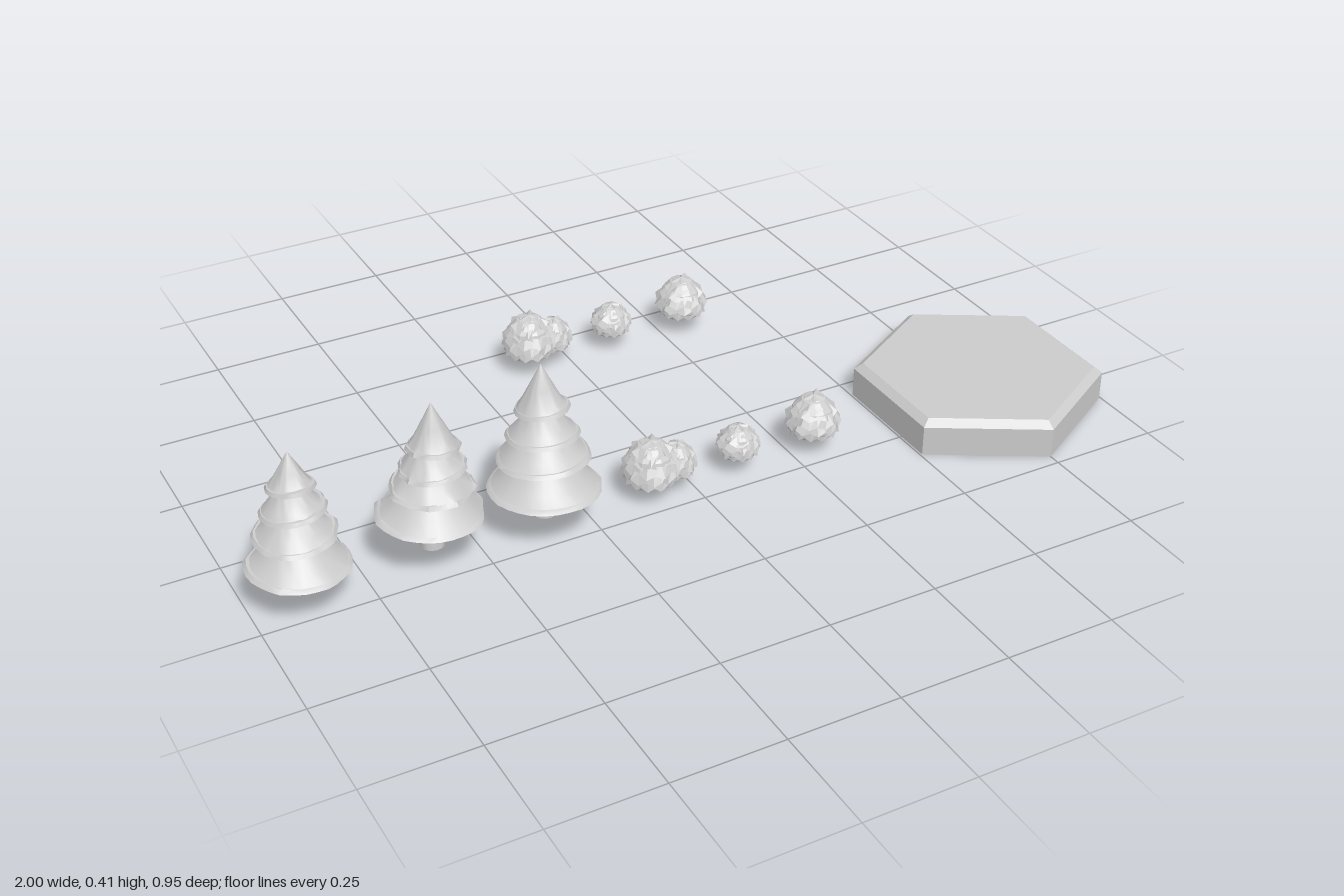
import * as THREE from 'three';
import { mergeGeometries, toCreasedNormals } from 'three/addons/utils/BufferGeometryUtils.js';

const smooth = new THREE.MeshStandardMaterial({ color: 0xcccccc, side: THREE.DoubleSide });
const faceted = new THREE.MeshStandardMaterial({ color: 0xcccccc, side: THREE.DoubleSide, flatShading: true });

function seeded(seed) {
  let s = seed;
  return () => (s = (s * 16807) % 2147483647) / 2147483647;
}

function addMesh(parent, name, geometry, material, x = 0, y = 0, z = 0) {
  const mesh = new THREE.Mesh(geometry, material);
  mesh.name = name;
  mesh.position.set(x, y, z);
  parent.add(mesh);
  return mesh;
}

// Hollow six-sided slab with a bevelled top, open underneath
function hexTile() {
  const profile = [[0.283, 0], [0.283, 0.07], [0.263, 0.085], [0, 0.085]];
  const geo = new THREE.LatheGeometry(profile.map(p => new THREE.Vector2(...p)), 6);
  return toCreasedNormals(geo, 0.3);
}

// One flared skirt of branches, with a wavy rim and a shallow underside
function tier(radius, height, rand, notch) {
  const profile = [
    [0, 0.012], [radius * 0.93, 0.008], [radius, 0],
    [radius * 0.72, height * 0.2], [radius * 0.45, height * 0.5], [0, height],
  ];
  const segments = 28;
  const geo = new THREE.LatheGeometry(profile.map(p => new THREE.Vector2(...p)), segments);
  const wobble = Array.from({ length: segments }, () => rand() - 0.5);
  const phase = rand() * 6.28;
  const pos = geo.attributes.position;
  for (let i = 0; i < pos.count; i++) {
    const ring = i % profile.length;
    if (ring !== 1 && ring !== 2) continue;
    const seg = Math.floor(i / profile.length) % segments;
    const angle = seg / segments * Math.PI * 2;
    const scale = 1 + wobble[seg] * notch;
    pos.setXYZ(i, pos.getX(i) * scale,
      pos.getY(i) + wobble[seg] * notch * 0.04 + Math.sin(angle + phase) * 0.005,
      pos.getZ(i) * scale);
  }
  return toCreasedNormals(geo, 0.8);
}

// Conifer: tiers are [radius, rim height, cone height], from the bottom up
function tree({ x, z, lean, notch, seed, tiers }) {
  const group = new THREE.Group();
  const rand = seeded(seed);
  addMesh(group, 'trunk', toCreasedNormals(new THREE.CylinderGeometry(0.024, 0.026, 0.1, 16), 0.6), smooth, 0, 0.095, 0);
  tiers.forEach(([r, y, h], i) => {
    const offset = lean * i / (tiers.length - 1);
    addMesh(group, 'branches' + (i + 1), tier(r, h, rand, notch), smooth, 0, y, offset);
  });
  group.position.set(x, 0, z);
  return group;
}

// Leafy dome: a flat-bottomed core wrapped in rings of ragged leaf skirts
function bushGeometry(radius, height, seed) {
  const rand = seeded(seed);
  const profile = [[0, 0], [0.78, 0], [0.9, 0.18], [0.9, 0.4], [0.76, 0.68], [0.45, 0.9], [0, 0.97]];
  const core = new THREE.LatheGeometry(profile.map(([r, y]) => new THREE.Vector2(r * radius, y * height)), 14);
  const parts = [core];
  // [rim radius, rim height, top radius, top height]
  const skirts = [
    [0.92, 0.03, 0.88, 0.3], [1.0, 0.2, 0.86, 0.48], [0.98, 0.36, 0.74, 0.66],
    [0.86, 0.53, 0.56, 0.81], [0.68, 0.7, 0.34, 0.93], [0.42, 0.85, 0.04, 1.0],
  ];
  skirts.forEach(([r0, y0, r1, y1], k) => {
    const n = 26 - k * 3;
    const skirt = new THREE.CylinderGeometry(r1 * radius, r0 * radius, (y1 - y0) * height, n, 1, true);
    skirt.translate(0, (y0 + y1) / 2 * height, 0);
    const jag = Array.from({ length: n }, () => rand() - 0.5);
    const pos = skirt.attributes.position;
    for (let i = n + 1; i < pos.count; i++) {
      const j = (i - n - 1) % n;
      const s = 1 + jag[j] * 0.16;
      const lift = (j % 2 ? 0.1 : 0) + jag[j] * 0.06;
      pos.setXYZ(i, pos.getX(i) * s, Math.max(0, pos.getY(i) + lift * height), pos.getZ(i) * s);
    }
    skirt.rotateY(rand() * 6.28);
    parts.push(skirt);
  });
  return mergeGeometries(parts.map(g => g.toNonIndexed()));
}

export function createModel() {
  const model = new THREE.Group();
  model.name = 'landscapeSet';

  addMesh(model, 'hexTile', hexTile(), smooth, 0.75, 0, 0.19);

  const trees = [
    { x: -0.893, z: 0.19, lean: 0, notch: 0.08, seed: 11,
      tiers: [[0.108, 0.1, 0.115], [0.085, 0.172, 0.1], [0.068, 0.23, 0.09], [0.05, 0.283, 0.082]] },
    { x: -0.605, z: 0.185, lean: 0.035, notch: 0.12, seed: 23,
      tiers: [[0.114, 0.125, 0.13], [0.088, 0.195, 0.11], [0.07, 0.25, 0.1], [0.056, 0.302, 0.104]] },
    { x: -0.353, z: 0.192, lean: 0, notch: 0.04, seed: 37,
      tiers: [[0.121, 0.113, 0.14], [0.1, 0.186, 0.12], [0.078, 0.24, 0.11], [0.058, 0.302, 0.105]] },
  ];
  trees.forEach((spec, i) => {
    const t = tree(spec);
    t.name = 'tree' + (i + 1);
    model.add(t);
  });

  // The same row of bushes stands at the front and at the back: [x, radius, height]
  const bushes = [[-0.1, 0.063, 0.1], [-0.037, 0.042, 0.076], [0.115, 0.047, 0.072], [0.305, 0.06, 0.094]];
  bushes.forEach(([x, r, h], i) => {
    const geo = bushGeometry(r, h, 101 + i * 17);
    addMesh(model, 'frontBush' + (i + 1), geo, faceted, x, 0.045, 0.19);
    addMesh(model, 'backBush' + (i + 1), geo, faceted, x, 0.045, -0.41);
  });

  return model;
}
